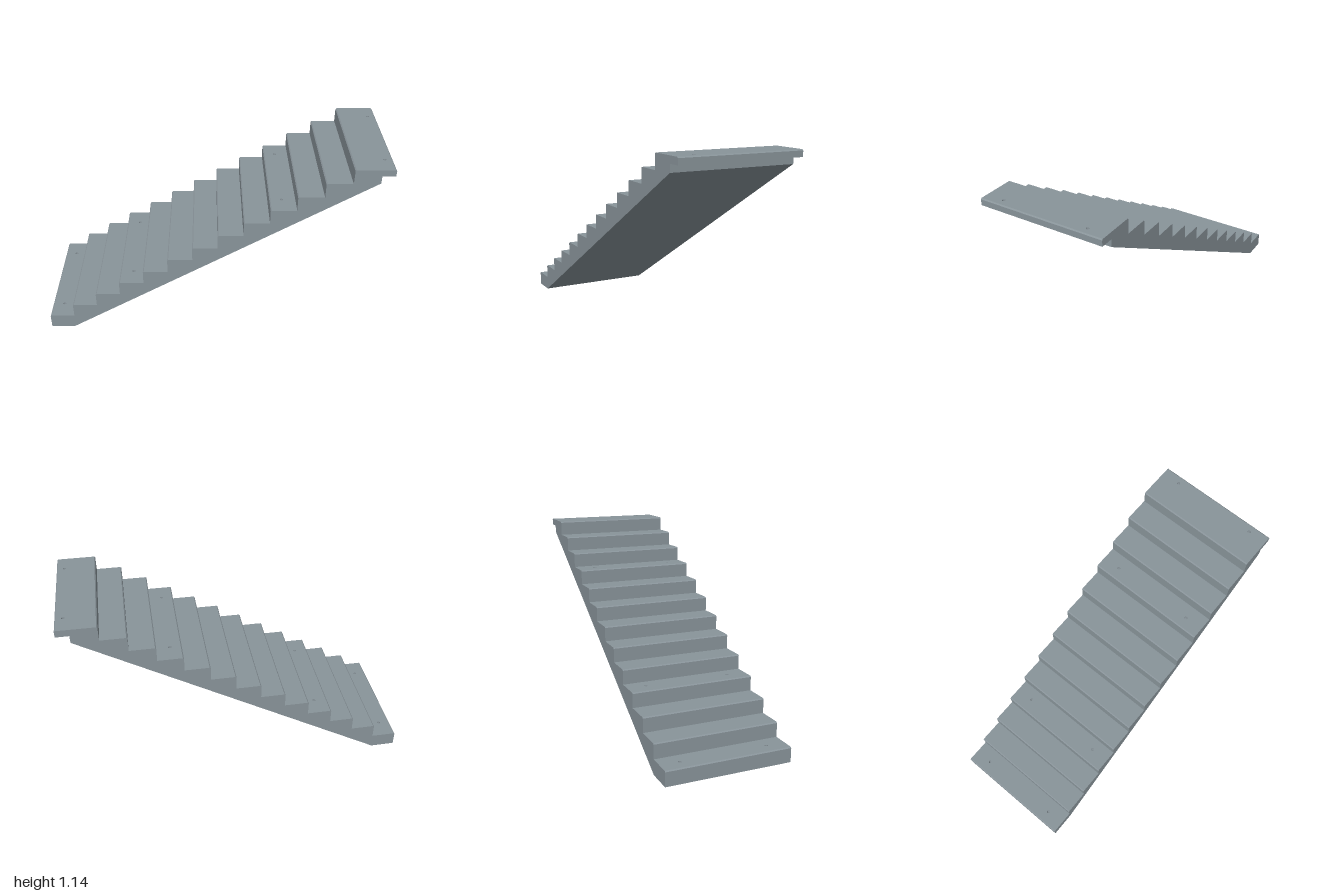
import * as THREE from 'three';
import { mergeGeometries } from 'three/addons/utils/BufferGeometryUtils.js';

const STEPS = 13, RUN = 0.148, RISE = 1.14 / 13;
const HALF = 0.37;      // half width of the flight
const BEVEL = 0.006;    // chamfer on each nosing
const HOLE_R = 0.009, HOLE_DEPTH = 0.03, HOLE_Z = 0.257;
const HOLES = { 0: -0.93, 3: -0.475, 9: 0.4, 12: 0.955 }; // step index -> x of its bolt holes

// Side outline, clockwise; tread segments that carry holes keep the hole's x
function outline() {
  const pts = [];
  const add = (x, y, holeX) => pts.push({ x, y, holeX });
  add(-1, 0);
  for (let i = 0; i < STEPS; i++) {
    const x = -1 + i * RUN, top = (i + 1) * RISE;
    if (i > 0) add(x, i * RISE);
    add(x, top - BEVEL);
    add(x + BEVEL, top, HOLES[i]);
  }
  add(1 - BEVEL, 1.14);
  add(1, 1.14 - BEVEL);
  add(1, 1.1);          // landing lip
  add(0.925, 1.1);
  add(0.925, 1.056);
  add(-0.855, 0);       // sloping underside
  return pts;
}

// Flat panel spanning the full width between two outline points
function panel(a, b) {
  const along = new THREE.Vector3(b.x - a.x, b.y - a.y, 0);
  const len = along.length();
  along.normalize();
  const shape = new THREE.Shape([
    new THREE.Vector2(0, -HALF), new THREE.Vector2(len, -HALF),
    new THREE.Vector2(len, HALF), new THREE.Vector2(0, HALF),
  ]);
  if (a.holeX !== undefined) {
    for (const z of [-HOLE_Z, HOLE_Z]) {
      shape.holes.push(new THREE.Path().absarc(a.holeX - a.x, z, HOLE_R, 0, Math.PI * 2, true));
    }
  }
  const normal = new THREE.Vector3(-along.y, along.x, 0);
  const m = new THREE.Matrix4().makeBasis(along, new THREE.Vector3(0, 0, -1), normal);
  m.setPosition(a.x, a.y, 0);
  return new THREE.ShapeGeometry(shape, 12).applyMatrix4(m);
}

export function createModel() {
  const group = new THREE.Group();
  group.name = 'staircase';
  const concrete = new THREE.MeshStandardMaterial({ color: 0x89949a, side: THREE.DoubleSide });
  concrete.name = 'grey concrete';
  const addMesh = (geometry, name) => {
    const mesh = new THREE.Mesh(geometry, concrete);
    mesh.name = name;
    group.add(mesh);
    return mesh;
  };

  // Treads, risers, landing and underside
  const pts = outline();
  const panels = pts.map((p, i) => panel(p, pts[(i + 1) % pts.length]));
  addMesh(mergeGeometries(panels), 'treadsRisersAndUnderside');

  // Side walls
  const side = (s) => new THREE.ShapeGeometry(
    new THREE.Shape(pts.map((p) => new THREE.Vector2(s * p.x, p.y))));
  addMesh(side(1), 'frontSide').position.z = HALF;
  const back = addMesh(side(-1), 'backSide');
  back.rotation.y = Math.PI;
  back.position.z = -HALF;

  // Blind bolt holes sunk into some treads
  const socket = new THREE.LatheGeometry([
    new THREE.Vector2(HOLE_R, 0),
    new THREE.Vector2(HOLE_R, -HOLE_DEPTH),
    new THREE.Vector2(0, -HOLE_DEPTH),
  ], 24);
  for (const [step, x] of Object.entries(HOLES)) {
    for (const z of [-HOLE_Z, HOLE_Z]) {
      addMesh(socket, 'boltHole').position.set(x, (Number(step) + 1) * RISE, z);
    }
  }
  return group;
}
